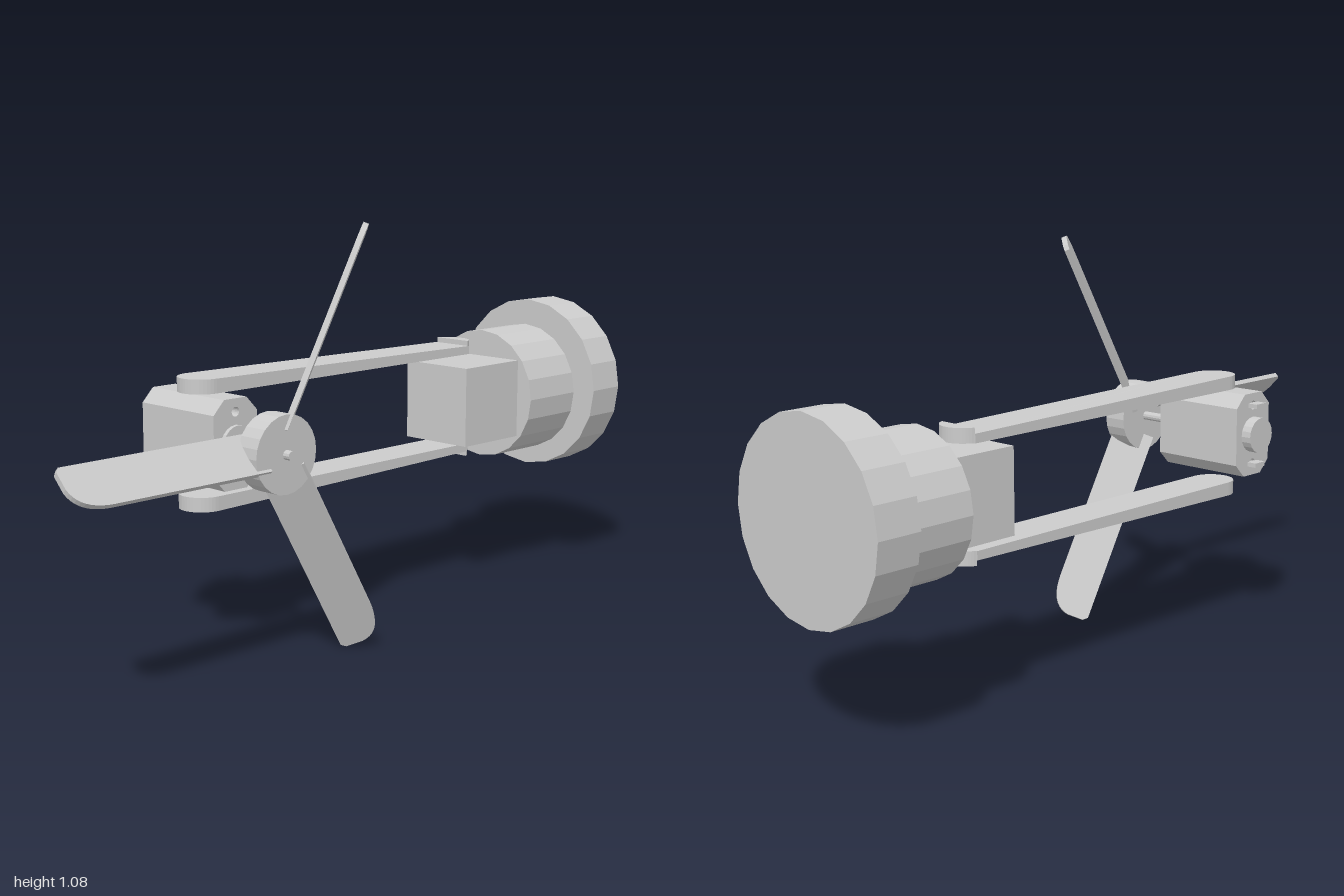
import * as THREE from 'three';

const mat = new THREE.MeshStandardMaterial({ color: 0xcccccc, flatShading: true });

function add(parent, name, geo, x = 0, y = 0, z = 0) {
  const m = new THREE.Mesh(geo, mat);
  m.name = name;
  m.position.set(x, y, z);
  parent.add(m);
  return m;
}

const cylX = (r, len, seg) => new THREE.CylinderGeometry(r, r, len, seg).rotateZ(Math.PI / 2);
const cylZ = (r, len, seg) => new THREE.CylinderGeometry(r, r, len, seg).rotateX(Math.PI / 2);
const extrude = (shape, depth, curveSegments = 10) =>
  new THREE.ExtrudeGeometry(shape, { depth, bevelEnabled: false, curveSegments });

// Flat bar lying in xz, thinning towards the back, with a full-height rounded cap at the rear
function makeArm() {
  const arm = new THREE.Group();
  const r = 0.06, t = 0.037, front = 0.38, back = -0.567;
  const bar = new THREE.Shape();
  bar.moveTo(-r, -back);
  bar.lineTo(-r, -front);
  bar.absarc(0, -front, r, Math.PI, Math.PI * 2, false);
  bar.lineTo(r, -back);
  bar.closePath();
  // shape y becomes -z, extrusion becomes +y
  const geo = extrude(bar, t).rotateX(-Math.PI / 2);
  const p = geo.attributes.position;
  for (let i = 0; i < p.count; i++) {
    const f = Math.max(0, (front - p.getZ(i)) / (front - back));
    if (p.getY(i) > t / 2) p.setY(i, t - 0.014 * f);
  }
  geo.computeVertexNormals();
  add(arm, 'armBar', geo);

  const cap = new THREE.Shape();
  const a = 0.34;
  cap.absarc(0, 0.545, r, a, Math.PI - a, false);
  cap.closePath();
  add(arm, 'armRearCap', extrude(cap, t).rotateX(-Math.PI / 2));
  return arm;
}

// Flat-sided motor can with chamfered corners, axis along x
function makeMotor() {
  const motor = new THREE.Group();
  const w = 0.07, h = 0.113, cw = 0.036, ch = 0.078, len = 0.27;
  const s = new THREE.Shape([
    [w, -ch], [w, ch], [cw, h], [-cw, h], [-w, ch], [-w, -ch], [-cw, -h], [cw, -h],
  ].map(([x, y]) => new THREE.Vector2(x, y)));
  for (const sy of [-1, 1]) {
    const hole = new THREE.Path();
    hole.absarc(0, sy * 0.08, 0.012, 0, Math.PI * 2, true);
    s.holes.push(hole);
  }
  add(motor, 'motorCan', extrude(s, len).rotateY(Math.PI / 2), -0.19);
  add(motor, 'rearBearing', cylX(0.048, 0.03, 20), -0.204);
  add(motor, 'frontBearing', cylX(0.048, 0.012, 20), 0.085);
  for (const sy of [-1, 1]) {
    add(motor, 'terminal', new THREE.BoxGeometry(0.03, 0.012, 0.04), -0.203, sy * 0.081);
  }
  add(motor, 'shaft', cylX(0.012, 0.2, 12), 0.18);
  return motor;
}

// Hub with three pitched blades, turning about x
function makePropeller() {
  const prop = new THREE.Group();
  add(prop, 'hub', cylX(0.097, 0.065, 24), 0.2275);
  const c = 0.057, tip = 0.61, thick = 0.014;
  const blade = new THREE.Shape();
  blade.moveTo(0.05, -c);
  blade.lineTo(tip - 0.01, -c);
  blade.lineTo(tip, -c + 0.012);
  blade.lineTo(tip, 0);
  blade.quadraticCurveTo(tip - 0.01, c, tip - 0.1, c);
  blade.lineTo(0.05, c);
  blade.closePath();
  // length along z, chord sloping in xy
  const k = Math.SQRT1_2;
  const pitch = new THREE.Matrix4().makeBasis(
    new THREE.Vector3(0, 0, 1), new THREE.Vector3(k, -k, 0), new THREE.Vector3(k, k, 0));
  const geo = extrude(blade, thick).translate(0, 0, -thick / 2).applyMatrix4(pitch)
    .translate(0.22, 0.004, 0);
  for (let i = 0; i < 3; i++) {
    add(prop, 'blade', geo).rotation.x = i * Math.PI * 2 / 3;
  }
  return prop;
}

export function createModel() {
  const model = new THREE.Group();
  model.name = 'handheldFan';

  // Stepped round base and square block at the back
  add(model, 'baseDisc', cylZ(0.247, 0.12, 20), -0.035, 0.537, -0.94);
  add(model, 'baseCollar', cylZ(0.185, 0.2, 20), -0.045, 0.525, -0.78);
  add(model, 'mountBlock', new THREE.BoxGeometry(0.22, 0.22, 0.225), -0.02, 0.525, -0.5675);

  // Mirrored pair of arms above and below the motor
  for (const side of [1, -1]) {
    const arm = makeArm();
    arm.name = side > 0 ? 'upperArm' : 'lowerArm';
    arm.position.set(-0.058, side > 0 ? 0.656 : 0.397, 0);
    arm.scale.y = side;
    model.add(arm);
  }

  const motor = makeMotor();
  motor.name = 'motor';
  motor.position.set(0, 0.542, 0.39);
  model.add(motor);

  const prop = makePropeller();
  prop.name = 'propeller';
  prop.position.set(0, 0.542, 0.39);
  model.add(prop);

  return model;
}
